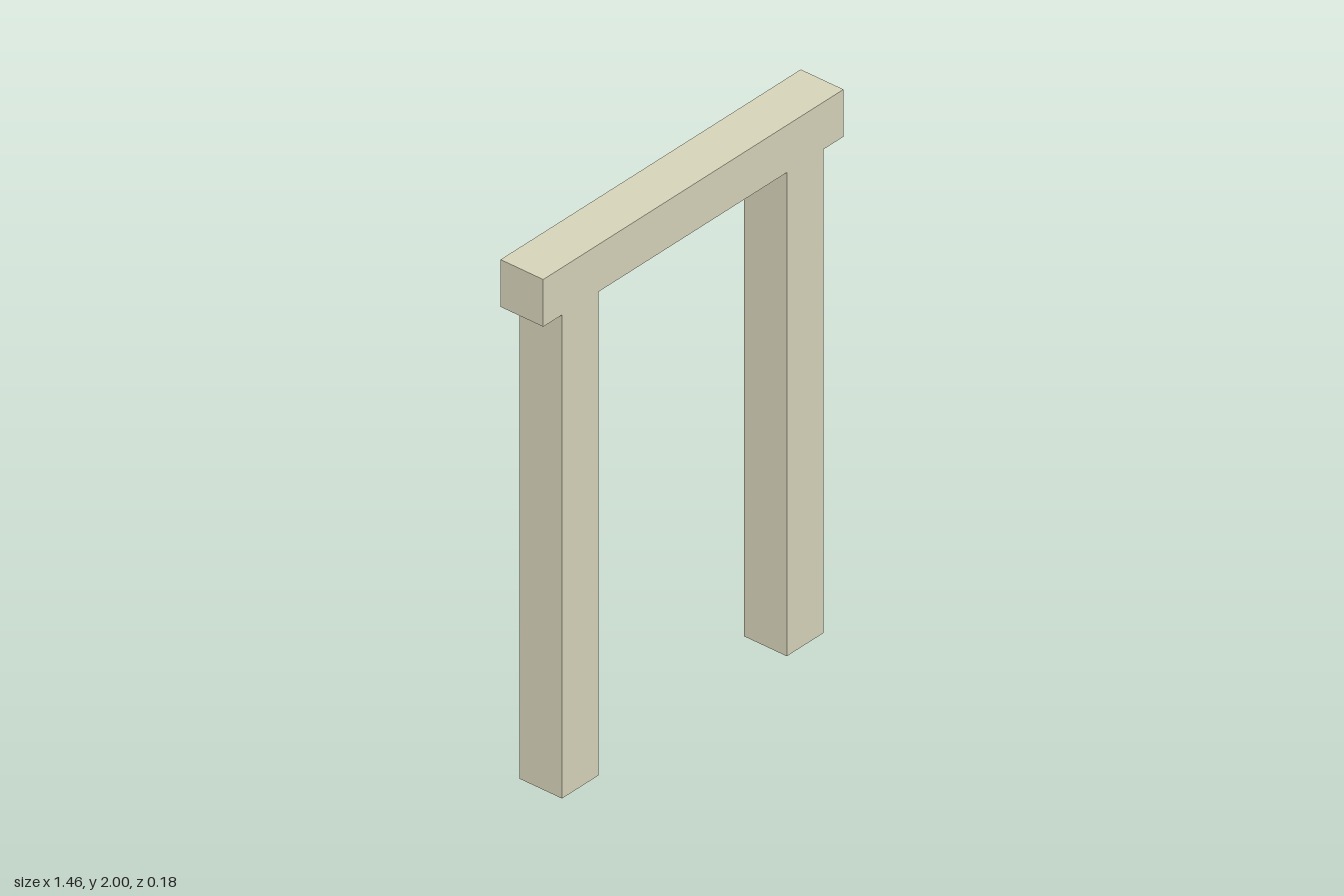
import * as THREE from 'three';

const HEIGHT = 2;
const THICK = 0.178;          // square section shared by beam and posts
const BEAM_HALF = 0.728;
const POSTS = [-0.637, 0.453]; // left edge of each post

export function createModel() {
  const group = new THREE.Group();
  group.name = 'gateway';

  const material = new THREE.MeshStandardMaterial({ color: 0xd5d3b8 });
  const beamBottom = HEIGHT - THICK;

  // One outline: the underside steps down around each post
  const outline = new THREE.Shape();
  outline.moveTo(-BEAM_HALF, HEIGHT);
  outline.lineTo(-BEAM_HALF, beamBottom);
  for (const x of POSTS) {
    outline.lineTo(x, beamBottom);
    outline.lineTo(x, 0);
    outline.lineTo(x + THICK, 0);
    outline.lineTo(x + THICK, beamBottom);
  }
  outline.lineTo(BEAM_HALF, beamBottom);
  outline.lineTo(BEAM_HALF, HEIGHT);
  outline.closePath();

  // Beam and posts form a single flush frame
  const geometry = new THREE.ExtrudeGeometry(outline, { depth: THICK, bevelEnabled: false });
  geometry.translate(0, 0, -THICK / 2);

  const frame = new THREE.Mesh(geometry, material);
  frame.name = 'postAndBeamFrame';
  group.add(frame);

  return group;
}
